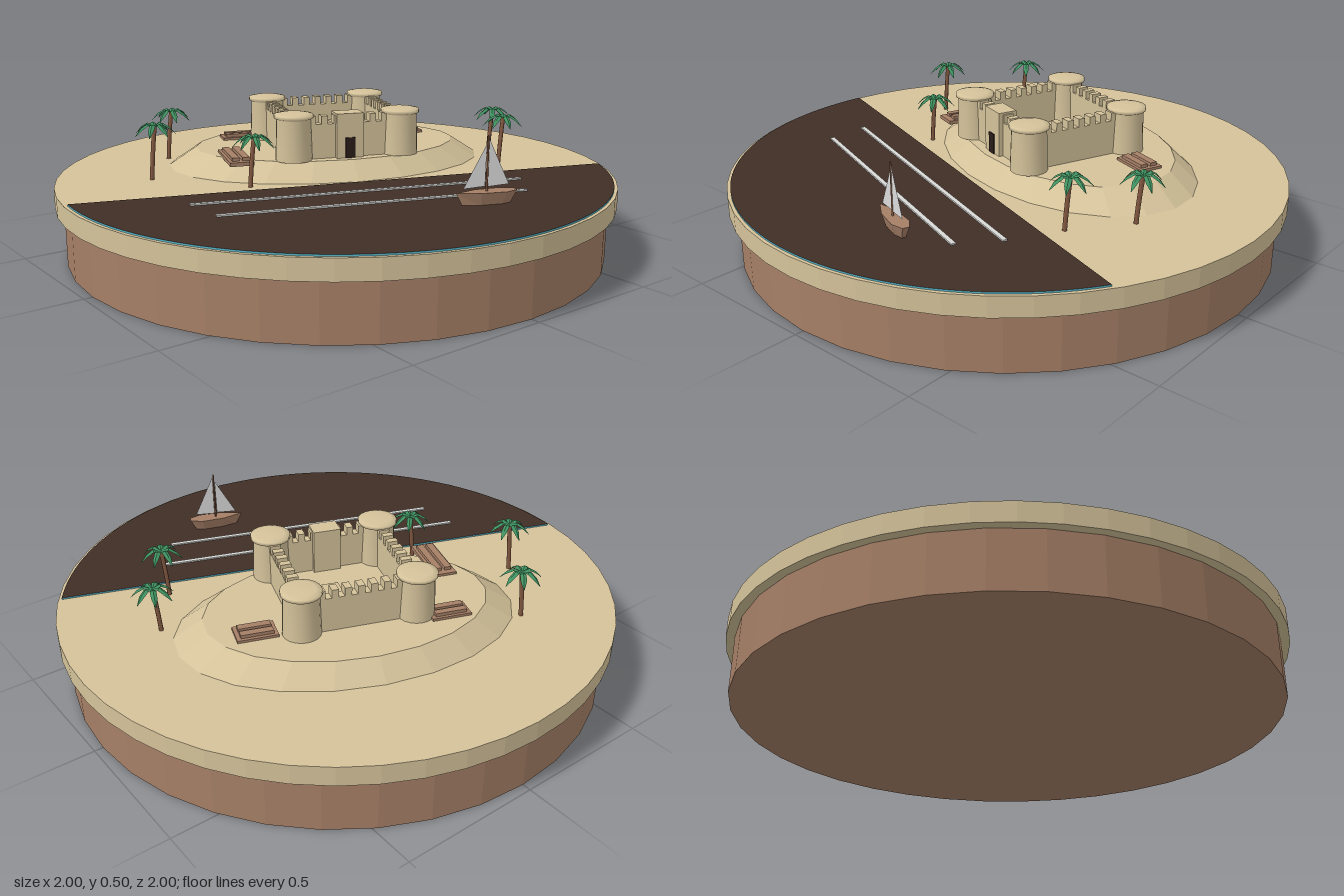
import * as THREE from 'three';

const mat = (name, color, opts = {}) => {
  const m = new THREE.MeshStandardMaterial({ color, ...opts });
  m.name = name;
  return m;
};

export function createModel() {
  const sand = mat('sand', 0xd4c29a, { flatShading: true });
  const towerSand = mat('sand smooth', 0xd4c29a);
  const brown = mat('earth brown', 0xa57f66, { flatShading: true });
  const deep = mat('dark water', 0x3f2e26);
  const cyan = mat('water edge', 0x58b4c8);
  const foam = mat('foam', 0xd8d8d6);
  const sail = mat('sail', 0xdcdcdc, { side: THREE.DoubleSide });
  const bark = mat('bark', 0x855a42);
  const green = mat('palm green', 0x3f9160, { side: THREE.DoubleSide, flatShading: true });
  const dark = mat('doorway', 0x2a1e19);

  const root = new THREE.Group();
  root.name = 'coastalFort';
  const TURN = -THREE.MathUtils.degToRad(20);

  const add = (parent, name, geo, material, x = 0, y = 0, z = 0) => {
    const m = new THREE.Mesh(geo, material);
    m.name = name;
    m.position.set(x, y, z);
    parent.add(m);
    return m;
  };
  const box = (parent, name, w, h, d, material, x, y, z) =>
    add(parent, name, new THREE.BoxGeometry(w, h, d).translate(0, h / 2, 0), material, x, y, z);
  const turned = (name, x, y, z) => {
    const g = new THREE.Group();
    g.name = name;
    g.position.set(x, y, z);
    g.rotation.y = TURN;
    root.add(g);
    return g;
  };

  // Round stand and the ground disc on it
  add(root, 'stand', new THREE.CylinderGeometry(0.97, 0.97, 0.2, 36), brown, 0, 0.1, 0);
  add(root, 'ground', new THREE.CylinderGeometry(1, 1, 0.07, 48), sand, 0, 0.235, 0);

  // Water: a segment of the disc
  const sea = new THREE.Shape();
  sea.absarc(0, 0, 0.987, Math.atan2(0.52, 0.835), Math.atan2(-0.14, -0.977) + 2 * Math.PI, false);
  sea.closePath();
  const seaGeo = new THREE.ExtrudeGeometry(sea, { depth: 0.007, bevelEnabled: false, curveSegments: 40 });
  add(root, 'water', seaGeo.rotateX(Math.PI / 2), [deep, cyan], 0, 0.276, 0);

  // Foam lines
  for (const [x, z, len] of [[-0.12, 0.31, 1.17], [-0.17, 0.45, 1.06]]) {
    box(turned('foamLine', x, 0.274, z), 'foamStrip', len, 0.007, 0.016, foam, 0, 0, 0);
  }

  // Mound under the fort
  const mound = turned('mound', 0.105, 0.302, -0.2);
  add(mound, 'moundBody', new THREE.CylinderGeometry(0.83, 1, 0.066, 22), sand).scale.set(0.605, 1, 0.405);

  // Fort
  const fort = turned('fort', 0.08, 0.334, -0.135);
  const towerGeo = new THREE.LatheGeometry([
    [0.066, 0], [0.061, 0.147], [0.07, 0.152], [0.07, 0.164], [0.05, 0.168], [0, 0.17],
  ].map(([r, y]) => new THREE.Vector2(r, y)), 20);
  for (const x of [-0.2, 0.2]) for (const z of [-0.2, 0.2]) add(fort, 'tower', towerGeo, towerSand, x, 0, z);

  // Four walls with merlons
  for (let i = 0; i < 4; i++) {
    const side = new THREE.Group();
    side.name = 'wallSide';
    side.rotation.y = i * Math.PI / 2;
    fort.add(side);
    box(side, 'wall', 0.4, 0.125, 0.036, sand, 0, 0, 0.2);
    for (let k = -3; k <= 3; k++) box(side, 'merlon', 0.024, 0.03, 0.038, sand, k * 0.045, 0.125, 0.2);
  }

  // Gatehouse, door and inner building
  box(fort, 'gatehouse', 0.1, 0.162, 0.07, sand, 0, 0, 0.2);
  box(fort, 'door', 0.036, 0.075, 0.006, dark, 0, 0, 0.2365);
  box(fort, 'innerBuilding', 0.11, 0.07, 0.095, sand, 0.08, 0, -0.085);

  // Timber platforms: a slab carrying smaller planks
  const platform = (x, z, w, d) => {
    const g = turned('platform', x, 0.33, z);
    box(g, 'platformSlab', w, 0.014, d, brown, 0, 0, 0);
    const along = w > d;
    for (const s of [-1, 1]) {
      if (along) box(g, 'plank', w * 0.8, 0.012, d * 0.3, brown, 0, 0.014, s * d * 0.22);
      else box(g, 'plank', w * 0.3, 0.012, d * 0.8, brown, s * w * 0.22, 0.014, 0);
    }
  };
  platform(-0.13, -0.455, 0.14, 0.08);
  platform(0.46, -0.165, 0.14, 0.09);
  platform(-0.33, -0.16, 0.085, 0.23);

  // Palms: leaning trunk and seven folded, drooping fronds
  const frondGeo = () => {
    // each section: distance out, height, half width
    const rows = [[0, 0, 0.004], [0.028, 0.011, 0.011], [0.052, -0.004, 0.01], [0.074, -0.03, 0.001]];
    const pos = [], idx = [];
    for (const [r, y, w] of rows) pos.push(r, y - w * 0.5, w, r, y, 0, r, y - w * 0.5, -w);
    for (let i = 0; i < rows.length - 1; i++) for (let j = 0; j < 2; j++) {
      const a = i * 3 + j, b = a + 3;
      idx.push(a, b, a + 1, b, b + 1, a + 1);
    }
    const g = new THREE.BufferGeometry();
    g.setAttribute('position', new THREE.Float32BufferAttribute(pos, 3));
    g.setIndex(idx);
    g.computeVertexNormals();
    return g;
  };
  const frond = frondGeo();
  const palms = [[-0.375, -0.55, 0.45], [-0.58, -0.29, 0.46], [-0.36, 0.01, 0.44], [0.67, 0.13, 0.44], [0.53, 0.32, 0.455]];
  palms.forEach(([x, z, top], n) => {
    const palm = new THREE.Group();
    palm.name = 'palm';
    root.add(palm);
    const path = new THREE.QuadraticBezierCurve3(
      new THREE.Vector3(x - 0.018, 0.265, z), new THREE.Vector3(x - 0.012, (top + 0.27) / 2, z), new THREE.Vector3(x, top, z));
    const trunk = new THREE.TubeGeometry(path, 5, 0.008, 7);
    add(palm, 'trunk', trunk, bark);
    for (let i = 0; i < 7; i++) {
      add(palm, 'frond', frond, green, x, top, z).rotation.y = n * 0.4 + i * 2 * Math.PI / 7;
    }
  });

  // Sailing boat: hull narrows towards the keel
  const boat = turned('boat', 0.1, 0.272, 0.667);
  const outline = [[-0.106, 0], [-0.03, -0.026], [0.06, -0.03], [0.103, -0.012], [0.103, 0.012], [0.06, 0.03], [-0.03, 0.026]];
  const hull = new THREE.ExtrudeGeometry(
    new THREE.Shape(outline.map(([x, y]) => new THREE.Vector2(x, y))), { depth: 0.046, bevelEnabled: false });
  hull.rotateX(Math.PI / 2).translate(0, 0.046, 0);
  const p = hull.attributes.position;
  for (let i = 0; i < p.count; i++) {
    if (p.getY(i) < 0.01) p.setXYZ(i, p.getX(i) * 0.78, p.getY(i), p.getZ(i) * 0.55);
  }
  hull.computeVertexNormals();
  add(boat, 'hull', hull, brown);
  add(boat, 'mast', new THREE.CylinderGeometry(0.003, 0.004, 0.19, 6), bark, 0, 0.133, 0);
  const sailPiece = (name, pts) =>
    add(boat, name, new THREE.ShapeGeometry(new THREE.Shape(pts.map(([x, y]) => new THREE.Vector2(x, y)))), sail);
  sailPiece('mainSail', [[0.004, 0.06], [0.078, 0.064], [0.004, 0.218]]);
  sailPiece('frontSail', [[-0.082, 0.058], [-0.006, 0.062], [-0.004, 0.2]]);

  return root;
}
